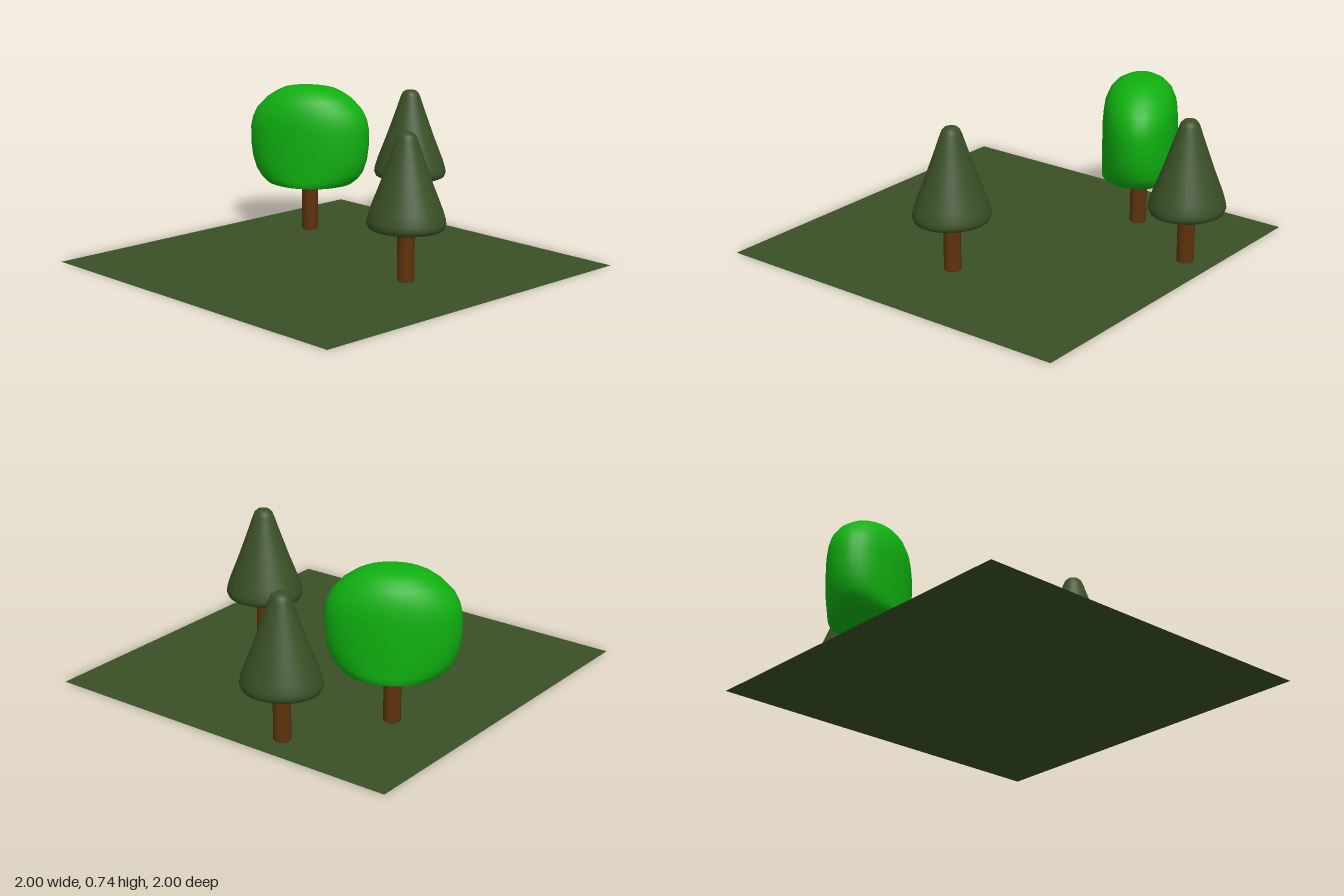
import * as THREE from 'three';
import { mergeVertices } from 'three/addons/utils/BufferGeometryUtils.js';

const SEGMENTS = 32;
const paint = (color, side = THREE.FrontSide) => new THREE.MeshStandardMaterial({ color, side });

function add(parent, name, geometry, material) {
  const mesh = new THREE.Mesh(geometry, material);
  mesh.name = name;
  parent.add(mesh);
  return mesh;
}

function lathe(profile) {
  return new THREE.LatheGeometry(profile.map(([r, y]) => new THREE.Vector2(r, y)), SEGMENTS);
}

// Stack of elliptical rings [half length, half width, height], closed at both ends
function ellipticalCrown(rings) {
  const profile = [[0, rings[0][2]], ...rings.map((r) => [1, r[2]]), [0, rings.at(-1)[2]]];
  const geometry = lathe(profile);
  const position = geometry.attributes.position;
  for (let i = 0; i < position.count; i++) {
    const row = i % profile.length;
    const ring = rings[Math.min(Math.max(row - 1, 0), rings.length - 1)];
    position.setX(i, position.getX(i) * ring[0]);
    position.setZ(i, position.getZ(i) * ring[1]);
  }
  // Weld the seam so the normals stay smooth all round
  geometry.deleteAttribute('normal');
  geometry.deleteAttribute('uv');
  const welded = mergeVertices(geometry, 1e-5);
  welded.computeVertexNormals();
  return welded;
}

export function createModel() {
  const model = new THREE.Group();
  const bark = paint(0x5e330c);
  const needles = paint(0x3a5026);
  const leaves = paint(0x10b010);
  const TURN = -0.093;

  // Flat square of grass, slightly turned
  const ground = add(model, 'ground', new THREE.PlaneGeometry(1.838, 1.838).rotateX(-Math.PI / 2),
    paint(0x3a5026, THREE.DoubleSide));
  ground.rotation.y = TURN;

  const trunkGeometry = lathe([
    [0, 0.01], [0.036, 0.01], [0.04, 0.014], [0.04, 0.2], [0.043, 0.235], [0.052, 0.26], [0, 0.26],
  ]);
  const coneGeometry = ellipticalCrown([
    [0.165, 0.153, 0.255], [0.181, 0.168, 0.262], [0.188, 0.175, 0.28], [0.186, 0.173, 0.3],
    [0.172, 0.16, 0.345], [0.125, 0.116, 0.463], [0.078, 0.073, 0.59], [0.052, 0.048, 0.665],
    [0.043, 0.04, 0.685], [0.03, 0.028, 0.697], [0.015, 0.014, 0.7],
  ]);
  const roundGeometry = ellipticalCrown([
    [0.19, 0.165, 0.25], [0.215, 0.178, 0.256], [0.25, 0.178, 0.285], [0.275, 0.178, 0.32],
    [0.294, 0.179, 0.38], [0.303, 0.179, 0.45], [0.303, 0.179, 0.53], [0.293, 0.175, 0.58],
    [0.268, 0.168, 0.63], [0.22, 0.148, 0.68], [0.17, 0.12, 0.713], [0.13, 0.085, 0.732],
    [0.09, 0.055, 0.74],
  ]);

  // Name, crown shape, crown material, x, z and turn of each tree
  const trees = [
    ['frontConifer', coneGeometry, needles, 0.455, 0.032, TURN],
    ['backConifer', coneGeometry, needles, -0.205, -0.815, TURN],
    ['roundTree', roundGeometry, leaves, -0.512, -0.395, 0.436],
  ];
  for (const [name, crown, material, x, z, turn] of trees) {
    const tree = new THREE.Group();
    tree.name = name;
    tree.position.set(x, 0, z);
    tree.rotation.y = turn;
    add(tree, 'trunk', trunkGeometry, bark);
    add(tree, 'crown', crown, material);
    model.add(tree);
  }
  return model;
}
